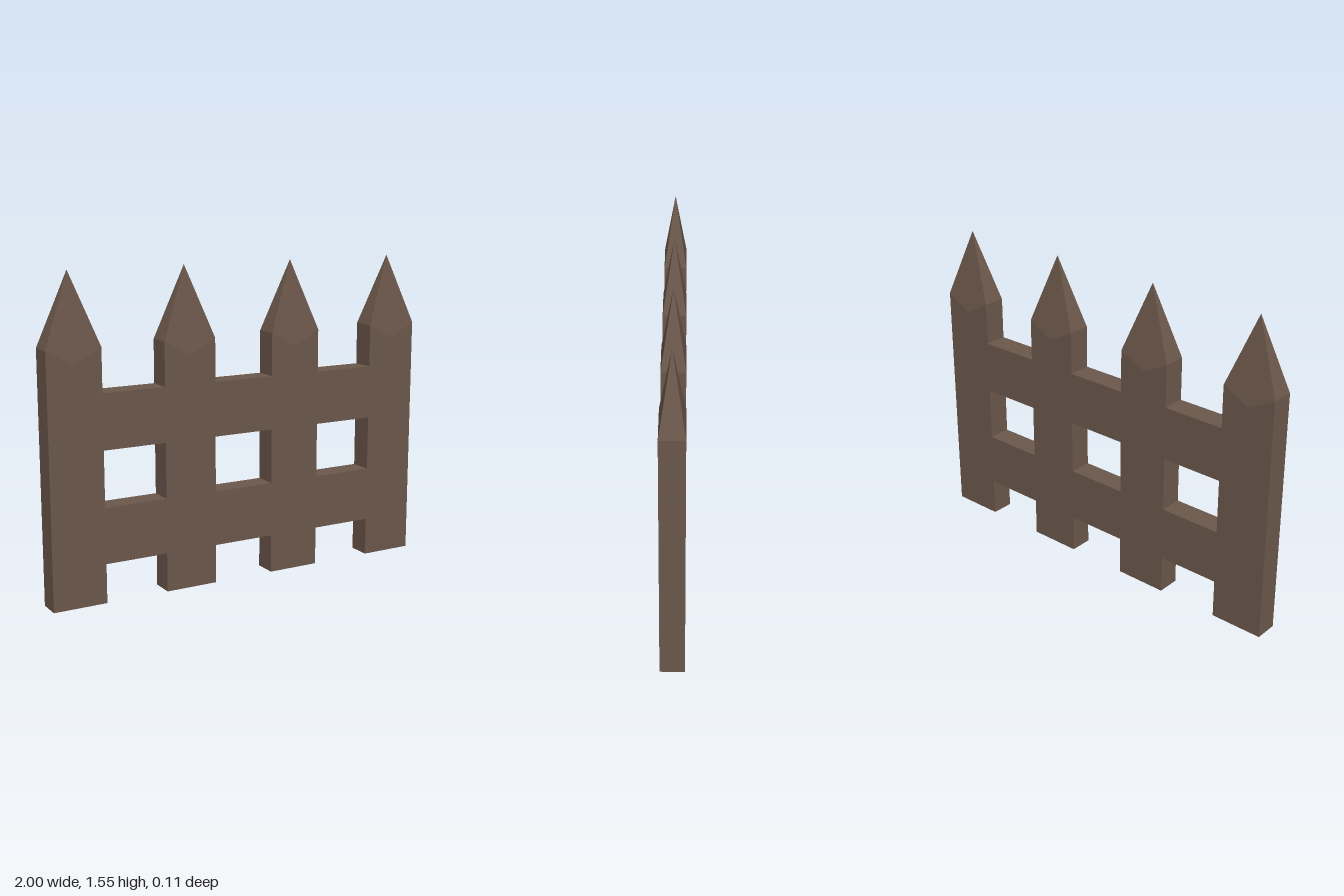
import * as THREE from 'three';

const W = 0.1325, D = 0.057;              // half width and half depth of a picket
const EAVE = 1.205, NOTCH = 1.135, TIP = 1.55;
const PICKETS = [-0.8675, -0.289, 0.289, 0.8675];

// Flat faces (corner loops), each fan-triangulated with one shared normal
function facesGeometry(faces) {
  const pos = [], nor = [];
  for (const loop of faces) {
    const p = loop.map(c => new THREE.Vector3(...c));
    const n = new THREE.Vector3();
    p.forEach((a, i) => n.add(a.clone().cross(p[(i + 1) % p.length])));
    n.normalize();
    for (let i = 1; i < p.length - 1; i++) {
      for (const v of [p[0], p[i], p[i + 1]]) {
        pos.push(v.x, v.y, v.z);
        nor.push(n.x, n.y, n.z);
      }
    }
  }
  const g = new THREE.BufferGeometry();
  g.setAttribute('position', new THREE.Float32BufferAttribute(pos, 3));
  g.setAttribute('normal', new THREE.Float32BufferAttribute(nor, 3));
  return g;
}

// Pointed picket; each half is the other turned half a circle about y
function picketGeometry() {
  const faces = [[[-W, 0, -D], [W, 0, -D], [W, 0, D], [-W, 0, D]]];
  for (const s of [1, -1]) {
    const at = (x, y, z) => [s * x, y, s * z];
    const left = at(-W, EAVE, D), right = at(W, EAVE, D), back = at(W, EAVE, -D);
    const notch = at(0, NOTCH, D), tip = at(0, TIP, 0);
    faces.push(
      [notch, left, at(-W, 0, D), at(W, 0, D), right],      // broad face
      [left, notch, right, tip],                            // broad slope of the point
      [at(W, 0, D), at(W, 0, -D), back, right],             // narrow face
      [right, back, tip],                                   // narrow slope of the point
    );
  }
  return facesGeometry(faces);
}

export function createModel() {
  const fence = new THREE.Group();
  fence.name = 'picketFence';
  const wood = new THREE.MeshStandardMaterial({ color: 0x6b574b });

  // Pickets
  const picket = picketGeometry();
  PICKETS.forEach((x, i) => {
    const mesh = new THREE.Mesh(picket, wood);
    mesh.name = `picket${i + 1}`;
    mesh.position.x = x;
    fence.add(mesh);
  });

  // Rails, flush with the pickets and filling the gaps between them
  for (const [name, bottom, top] of [['lowerRail', 0.19, 0.46], ['upperRail', 0.73, 0.995]]) {
    const rail = new THREE.Group();
    rail.name = name;
    for (let i = 0; i < PICKETS.length - 1; i++) {
      const x0 = PICKETS[i] + W, x1 = PICKETS[i + 1] - W;
      const mesh = new THREE.Mesh(new THREE.BoxGeometry(x1 - x0, top - bottom, 2 * D), wood);
      mesh.name = `${name}Section${i + 1}`;
      mesh.position.set((x0 + x1) / 2, (bottom + top) / 2, 0);
      rail.add(mesh);
    }
    fence.add(rail);
  }
  return fence;
}
